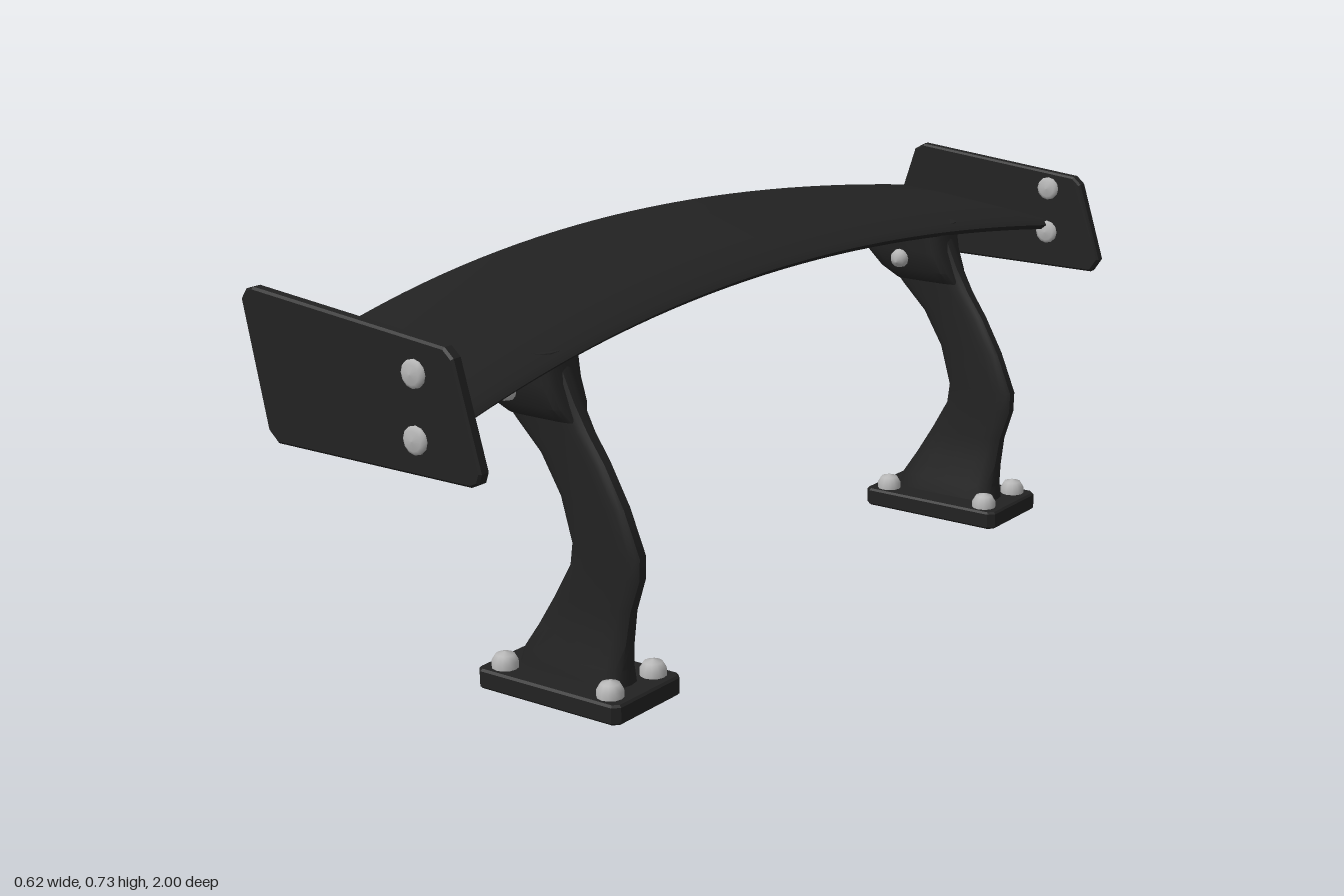
import * as THREE from 'three';
import { toCreasedNormals } from 'three/addons/utils/BufferGeometryUtils.js';

const black = new THREE.MeshStandardMaterial({ color: 0x222222 });
black.name = 'matte black';
const steel = new THREE.MeshStandardMaterial({ color: 0xb4b4b4 });
steel.name = 'bolt steel';

function mesh(name, geometry, material, parent) {
  const m = new THREE.Mesh(geometry, material);
  m.name = name;
  parent.add(m);
  return m;
}

// Closed skin over rings of points, with fan caps at both ends
function loft(rings) {
  const n = rings[0].length, last = rings.length - 1;
  const pos = rings.flat(2), index = [];
  for (let i = 0; i < last; i++) {
    for (let j = 0; j < n; j++) {
      const a = i * n + j, b = i * n + (j + 1) % n;
      index.push(a, b, b + n, a, b + n, a + n);
    }
  }
  for (let j = 1; j < n - 1; j++) {
    index.push(0, j + 1, j, last * n, last * n + j, last * n + j + 1);
  }
  const g = new THREE.BufferGeometry();
  g.setAttribute('position', new THREE.Float32BufferAttribute(pos, 3));
  g.setIndex(index);
  return toCreasedNormals(g, 0.7);
}

// Flat plate cut from an outline, softly bevelled, centred on z = 0
function plate(points, thickness) {
  const bevel = 0.004;
  const g = new THREE.ExtrudeGeometry(new THREE.Shape(points.map(p => new THREE.Vector2(...p))), {
    depth: thickness - 2 * bevel, bevelEnabled: true, bevelSize: bevel,
    bevelOffset: -bevel, bevelThickness: bevel, bevelSegments: 1,
  });
  return g.translate(0, 0, -thickness / 2 + bevel);
}

// Domed bolt head standing on y = 0
const boltGeometry = new THREE.LatheGeometry(
  [[0.024, -0.002], [0.024, 0.012], [0.017, 0.024], [0, 0.029]].map(p => new THREE.Vector2(...p)), 12);

function bolt(parent, x, y, z, size = 1) {
  const b = mesh('bolt', boltGeometry, steel, parent);
  b.position.set(x, y, z);
  b.scale.setScalar(size);
  return b;
}

// Bowed wing: the section moves forward and down towards the tips
function wing() {
  const section = [
    [0, 0.645], [0.3, 0.628], [0.7, 0.615], [0.97, 0.612], [1, 0.622],
    [0.97, 0.634], [0.7, 0.648], [0.3, 0.664], [0.04, 0.67], [0, 0.66],
  ];
  const rings = [];
  for (let i = 0; i <= 32; i++) {
    const z = -0.97 + 1.94 * i / 32;
    const t = (z / 0.97) ** 2;
    const rear = -0.31 + 0.11 * t, front = 0.12 + 0.07 * t;
    rings.push(section.map(([u, y]) => [rear + (front - rear) * u, y - 0.068 * t, z]));
  }
  return loft(rings);
}

// Rounded ring in the horizontal plane
function ring(x0, x1, y, halfZ, power = 0.6) {
  const points = [];
  for (let j = 0; j < 20; j++) {
    const a = j / 20 * Math.PI * 2, s = Math.sin(a), c = Math.cos(a);
    points.push([
      (x0 + x1) / 2 + (x1 - x0) / 2 * Math.sign(s) * Math.abs(s) ** power,
      y,
      halfZ * Math.sign(c) * Math.abs(c) ** power,
    ]);
  }
  return points;
}

function support() {
  const group = new THREE.Group();

  // Foot with chamfered corners and four bolts
  const foot = plate([
    [0.012, -0.094], [0.298, -0.094], [0.31, -0.082], [0.31, 0.082],
    [0.298, 0.094], [0.012, 0.094], [0, 0.082], [0, -0.082],
  ], 0.036).rotateX(-Math.PI / 2).translate(0, 0.018, 0);
  mesh('foot', foot, black, group);
  for (const x of [0.04, 0.27]) {
    for (const z of [-0.06, 0.06]) bolt(group, x, 0.036, z);
  }

  // Swept leg: rear x, front x, height, half thickness
  const leg = [
    [0.035, 0.27, 0.03, 0.04], [0.047, 0.266, 0.065, 0.035], [0.076, 0.27, 0.11, 0.025],
    [0.112, 0.278, 0.17, 0.02], [0.145, 0.297, 0.23, 0.018], [0.15, 0.298, 0.27, 0.018],
    [0.127, 0.265, 0.35, 0.018], [0.085, 0.226, 0.42, 0.018], [0.035, 0.192, 0.47, 0.02],
    [-0.01, 0.165, 0.52, 0.024], [-0.05, 0.13, 0.6, 0.028],
  ];
  mesh('leg', loft(leg.map(l => ring(...l))), black, group);

  // Flared bracket under the wing, bolted on both sides of the leg
  const bracket = [
    [0.02, 0.17, 0.485, 0.024], [-0.01, 0.16, 0.51, 0.046],
    [-0.05, 0.145, 0.55, 0.052], [-0.06, 0.135, 0.605, 0.056],
  ];
  mesh('bracket', loft(bracket.map(b => ring(...b, 0.45))), black, group);
  for (const side of [-1, 1]) {
    const b = bolt(group, 0.05, 0.535, side * 0.046, 0.8);
    b.rotation.x = side * Math.PI * 0.62;
  }
  return group;
}

export function createModel() {
  const model = new THREE.Group();
  model.name = 'rearWing';
  mesh('wing', wing(), black, model);

  // End plates, each with two through bolts
  const ends = [
    {
      name: 'leftEndPlate', side: 1, bolts: [[0.125, 0.64], [0.125, 0.532]],
      outline: [
        [-0.182, 0.473], [0.235, 0.473], [0.25, 0.48], [0.256, 0.498], [0.205, 0.675],
        [0.187, 0.691], [-0.225, 0.731], [-0.24, 0.726], [-0.252, 0.708], [-0.203, 0.492],
      ],
    },
    {
      name: 'rightEndPlate', side: -1, bolts: [[0.185, 0.635], [0.185, 0.54]],
      outline: [
        [-0.193, 0.465], [0.292, 0.465], [0.31, 0.492], [0.26, 0.65], [0.243, 0.665],
        [-0.13, 0.7], [-0.152, 0.687], [-0.216, 0.492],
      ],
    },
  ];
  for (const { name, side, bolts, outline } of ends) {
    const end = new THREE.Group();
    end.name = name;
    mesh('panel', plate(outline, 0.024), black, end);
    for (const [x, y] of bolts) {
      for (const face of [-1, 1]) {
        const b = bolt(end, x, y, face * 0.011);
        b.rotation.x = face * Math.PI / 2;
        b.scale.y = 0.42;
      }
    }
    end.position.z = side * 0.977;
    model.add(end);
  }

  // Matching supports
  for (const [name, z] of [['leftSupport', 0.63], ['rightSupport', -0.63]]) {
    const s = support();
    s.name = name;
    s.position.z = z;
    model.add(s);
  }
  return model;
}
